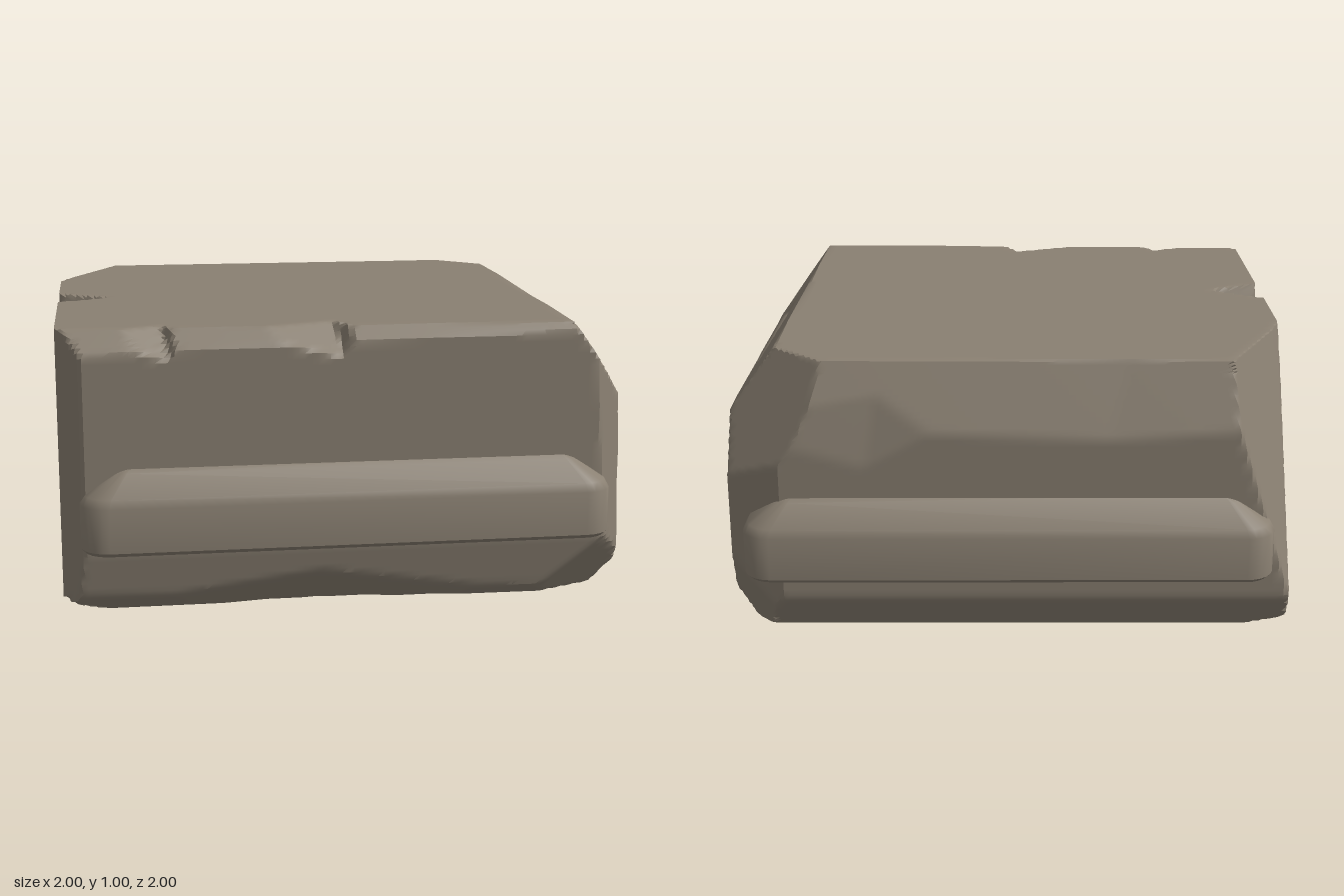
import * as THREE from 'three';
import { toCreasedNormals } from 'three/addons/utils/BufferGeometryUtils.js';
import { ConvexGeometry } from 'three/addons/geometries/ConvexGeometry.js';

const HALF = new THREE.Vector3(1, 0.5, 0.91); // half size of the uncut block
const V = (x, y, z) => new THREE.Vector3(x, y - HALF.y, z); // point measured from the block centre
const ALONG = Infinity; // a chamfer that runs parallel to this axis

// Slice off the block corner on sides sx, sy, sz, reaching a, b, c inward along x, y, z
function chamfer(sx, sy, sz, a, b, c) {
  const n = new THREE.Vector3(sx / a, sy / b, sz / c);
  const d = HALF.x / a + HALF.y / b + HALF.z / c - 1;
  return [{ n, d }];
}

// Break out a hollow whose walls run from the tip through each pair of neighbouring rim points
function notch(tip, ...rim) {
  const inside = rim.reduce((sum, p) => sum.add(p), new THREE.Vector3()).divideScalar(rim.length);
  return rim.slice(1).map((p, i) => {
    const n = p.clone().sub(tip).cross(rim[i].clone().sub(tip)).normalize();
    if (n.dot(inside) < n.dot(tip)) n.negate();
    return { n, d: n.dot(tip) };
  });
}

// Worn edges and corners
const upperEdges = [
  chamfer(1, 1, 1, 0.21, 0.29, 8),
  chamfer(1, 1, -1, 0.45, 0.64, 0.41),
  chamfer(-1, 1, 1, 2.8, 0.08, 0.083),
  chamfer(-1, 1, -1, ALONG, 0.14, 0.08),
];
const uprightEdges = [
  chamfer(1, 1, 1, 0.133, 1.87, 0.15),
  chamfer(-1, 1, 1, 0.08, ALONG, 0.11),
  chamfer(-1, 1, -1, 0.275, 0.86, 0.54),
  chamfer(1, 1, -1, 0.2, ALONG, 0.13),
];
const lowerEdges = [
  chamfer(-1, -1, 1, ALONG, 0.22, 0.04),
  chamfer(-1, -1, 1, 8, 0.1, 0.085),
  chamfer(1, -1, 1, 0.45, 0.27, 0.18),
  chamfer(1, -1, 1, 0.08, 0.1, ALONG),
  chamfer(1, -1, -1, ALONG, 0.14, 0.08),
  chamfer(-1, -1, 1, 0.15, 0.04, ALONG),
  chamfer(1, -1, -1, 0.23, 0.57, 0.23),
];

// Ledge in the right slope, wedge in the left edge, slash near the back left corner
const rightLedge = notch(V(0.86, 0.83, 0.35),
  V(1, 0.78, 0.58), V(0.97, 0.8, -0.32), V(0.86, 0.97, 0.4), V(1, 0.78, 0.58));
const leftWedge = notch(V(-0.8, 1, 0.12), V(-1, 1, 0), V(-1, 0.72, 0.11), V(-1, 1, 0.21));
const leftSlash = notch(V(-0.87, 0.92, -0.74),
  V(-1, 0.86, -0.45), V(-0.94, 0.8, -0.65), V(-0.97, 0.97, -0.5));

// Chips along the front upper edge
const frontChips = [[-0.04, 0.76, 0.3], [-0.64, 0.78, 0.22]].map(([x, z, width]) =>
  notch(V(x, 1, z), V(x + 0.06, 1, 0.89), V(x + 0.03, 0.89, 0.91), V(x - width, 1, 0.87)));

// Splinters along the back upper edge and flakes off the front lower edge
const backSplinters = [
  notch(V(-0.4, 0.93, -0.83), V(-0.75, 1, -0.81), V(-0.35, 0.74, -0.91), V(0.25, 0.98, -0.82)),
  notch(V(0.45, 0.95, -0.85), V(0.12, 0.9, -0.9), V(0.5, 0.64, -0.91), V(0.78, 0.88, -0.88)),
];
const frontFlake = notch(V(-0.1, 0.02, 0.81), V(-0.55, 0.08, 0.89), V(-0.1, 0.14, 0.9), V(0.55, 0.05, 0.89));

const cuts = [...upperEdges, ...uprightEdges, ...lowerEdges,
  rightLedge, leftWedge, leftSlash, ...frontChips, ...backSplinters, frontFlake];

// How far along a ray from the centre the stone remains, 1 being the uncut surface
function reach(ray) {
  let r = 1;
  for (const walls of cuts) {
    let enter = 0, leave = Infinity;
    for (const { n, d } of walls) {
      const s = n.dot(ray);
      if (s > 0) enter = Math.max(enter, d / s);
      else if (d >= 0) enter = Infinity;
      else if (s < 0) leave = Math.min(leave, d / s);
    }
    if (enter > 0.5 && enter < leave) r = Math.min(r, enter);
  }
  return r;
}

// Block: a fine box whose points are drawn in to the cuts
function stoneGeometry() {
  const geo = new THREE.BoxGeometry(HALF.x * 2, HALF.y * 2, HALF.z * 2, 90, 46, 82);
  const pos = geo.attributes.position;
  const p = new THREE.Vector3();
  for (let i = 0; i < pos.count; i++) {
    p.fromBufferAttribute(pos, i);
    p.multiplyScalar(reach(p));
    pos.setXYZ(i, p.x, p.y, p.z);
  }
  return toCreasedNormals(geo, 0.45);
}

// Bar: stacked outlines with rounded outer corners, narrowing to a ridge
function barGeometry() {
  const layers = [ // y, half length, outer z, corner radius
    [0.24, 0.92, 0.985, 0.09], [0.255, 0.932, 1, 0.1], [0.41, 0.932, 1, 0.1],
    [0.44, 0.915, 0.988, 0.09], [0.515, 0.81, 0.925, 0.04], [0.535, 0.77, 0.9, 0.02],
  ];
  const points = [];
  for (const [y, half, z, r] of layers) {
    for (const side of [-1, 1]) {
      points.push(V(side * half, y, 0.82));
      for (let i = 0; i <= 6; i++) {
        const a = (i / 6) * Math.PI / 2;
        points.push(V(side * (half - r + r * Math.cos(a)), y, z - r + r * Math.sin(a)));
      }
    }
  }
  return toCreasedNormals(new ConvexGeometry(points), 0.6);
}

export function createModel() {
  const model = new THREE.Group();
  model.name = 'stoneBlock';
  const stone = new THREE.MeshStandardMaterial({ color: 0x8a8072 });
  stone.name = 'grey brown stone';

  const addPart = (name, geometry, turn) => {
    const mesh = new THREE.Mesh(geometry, stone);
    mesh.name = name;
    mesh.position.y = HALF.y;
    mesh.rotation.y = turn;
    model.add(mesh);
  };
  const bar = barGeometry();
  addPart('chippedBlock', stoneGeometry(), 0);
  addPart('frontBar', bar, 0);
  addPart('backBar', bar, Math.PI);
  return model;
}
